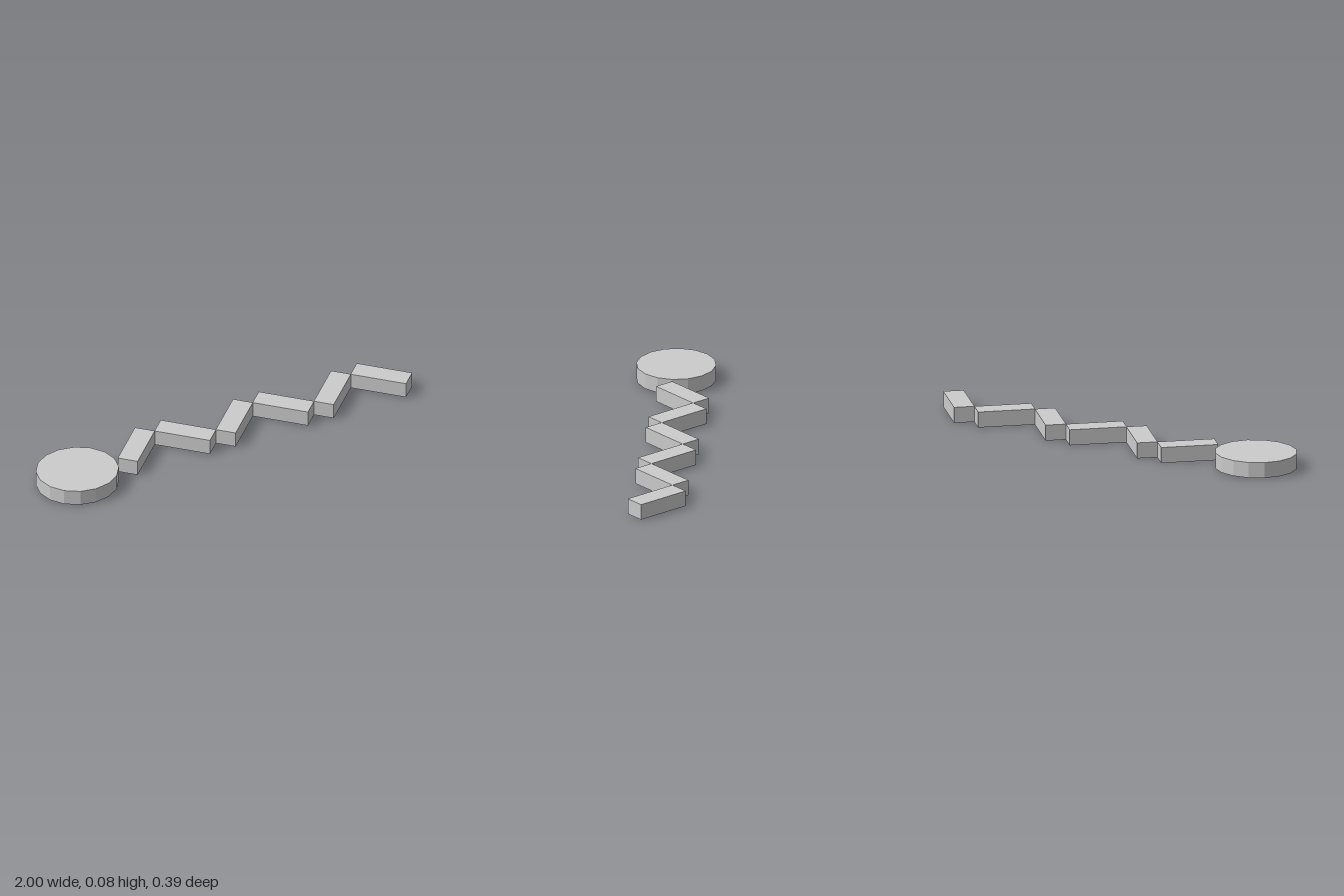
import * as THREE from 'three';

export function createModel() {
  const model = new THREE.Group();
  const material = new THREE.MeshStandardMaterial({ color: 0xcccccc, flatShading: true });

  // Flat 16-sided disc, slightly narrower front to back
  const disc = new THREE.Mesh(new THREE.CylinderGeometry(0.2, 0.2, 0.076, 16), material);
  disc.name = 'disc';
  disc.scale.z = 0.955;
  disc.position.set(-0.8, 0.042, 0.003);
  model.add(disc);

  // Six bars meeting corner to corner in a zigzag
  const zigzag = new THREE.Group();
  zigzag.name = 'zigzag';
  const barGeometry = new THREE.BoxGeometry(0.276, 0.077, 0.099);
  for (let i = 0; i < 6; i++) {
    const bar = new THREE.Mesh(barGeometry, material);
    bar.name = `bar${i + 1}`;
    bar.position.set(-0.45 + i * 0.2635, 0.0385, -0.06);
    bar.rotation.y = (i % 2 ? -1 : 1) * Math.PI / 4;
    zigzag.add(bar);
  }
  model.add(zigzag);

  return model;
}
